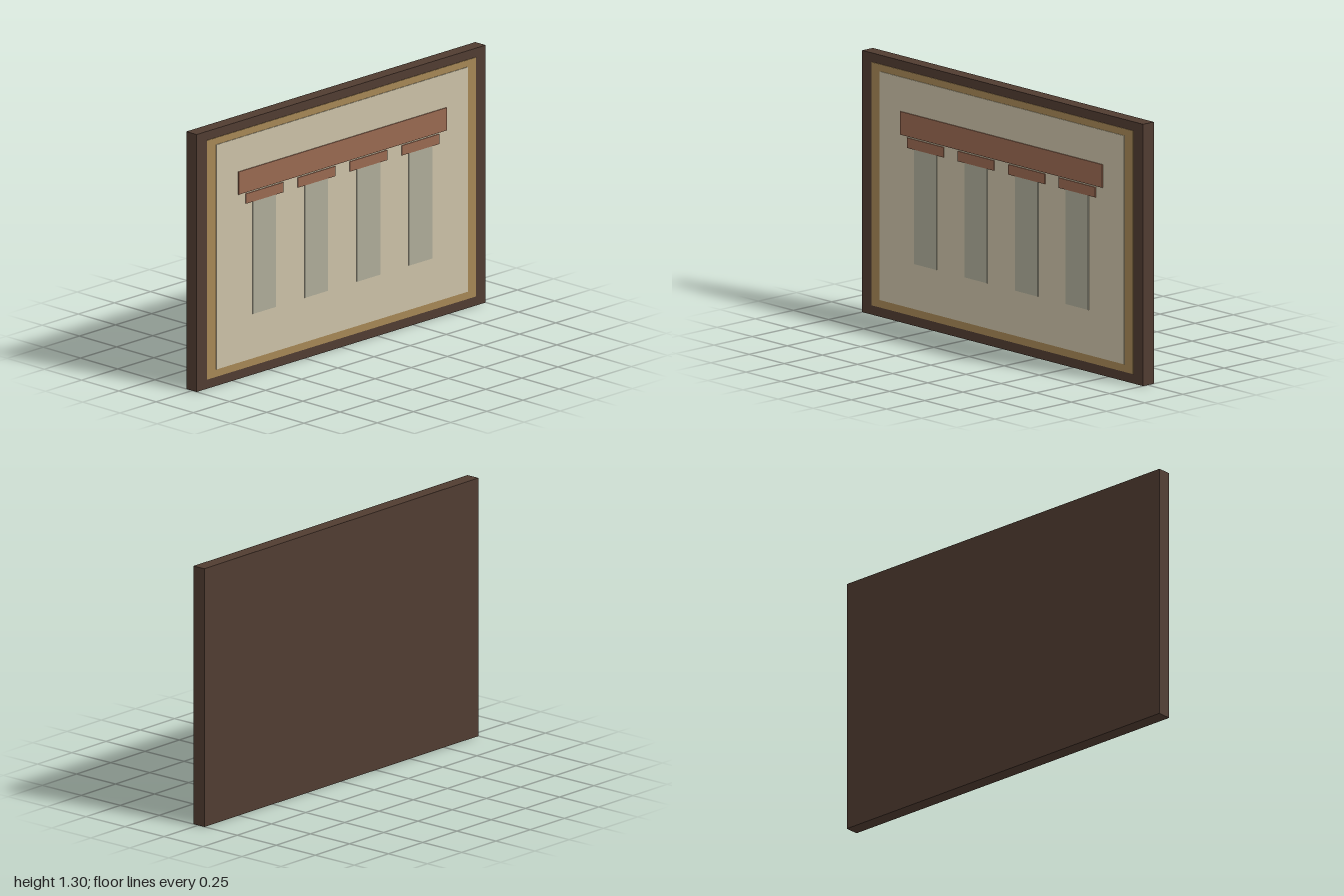
import * as THREE from 'three';

const COLORS = { frame: 0x503c31, gold: 0xa48655, canvas: 0xcac0a6, stone: 0xadab98, clay: 0x986850 };

export function createModel() {
  const group = new THREE.Group();
  const materials = {};
  for (const key in COLORS) materials[key] = new THREE.MeshStandardMaterial({ color: COLORS[key] });

  // Slab given by its centre x, width, vertical span and depth span
  function slab(name, material, x, width, y0, y1, z0, z1) {
    const mesh = new THREE.Mesh(new THREE.BoxGeometry(width, y1 - y0, z1 - z0), materials[material]);
    mesh.name = name;
    mesh.position.set(x, (y0 + y1) / 2, (z0 + z1) / 2);
    group.add(mesh);
  }

  // Stacked picture layers, each slightly proud of the last
  slab('frame', 'frame', 0, 2, 0, 1.3, -0.04, 0.03);
  slab('goldMat', 'gold', 0, 1.86, 0.047, 1.255, 0.02, 0.033);
  slab('canvas', 'canvas', 0, 1.74, 0.085, 1.22, 0.02, 0.036);

  // Painted temple: beam over four columns with capitals
  slab('beam', 'clay', 0, 1.44, 0.935, 1.05, 0.03, 0.041);
  for (let i = 0; i < 4; i++) {
    const x = -0.54 + i * 0.36;
    slab('column' + (i + 1), 'stone', x, 0.16, 0.31, 0.885, 0.03, 0.04);
    slab('capital' + (i + 1), 'clay', x, 0.26, 0.878, 0.928, 0.03, 0.041);
  }
  return group;
}
